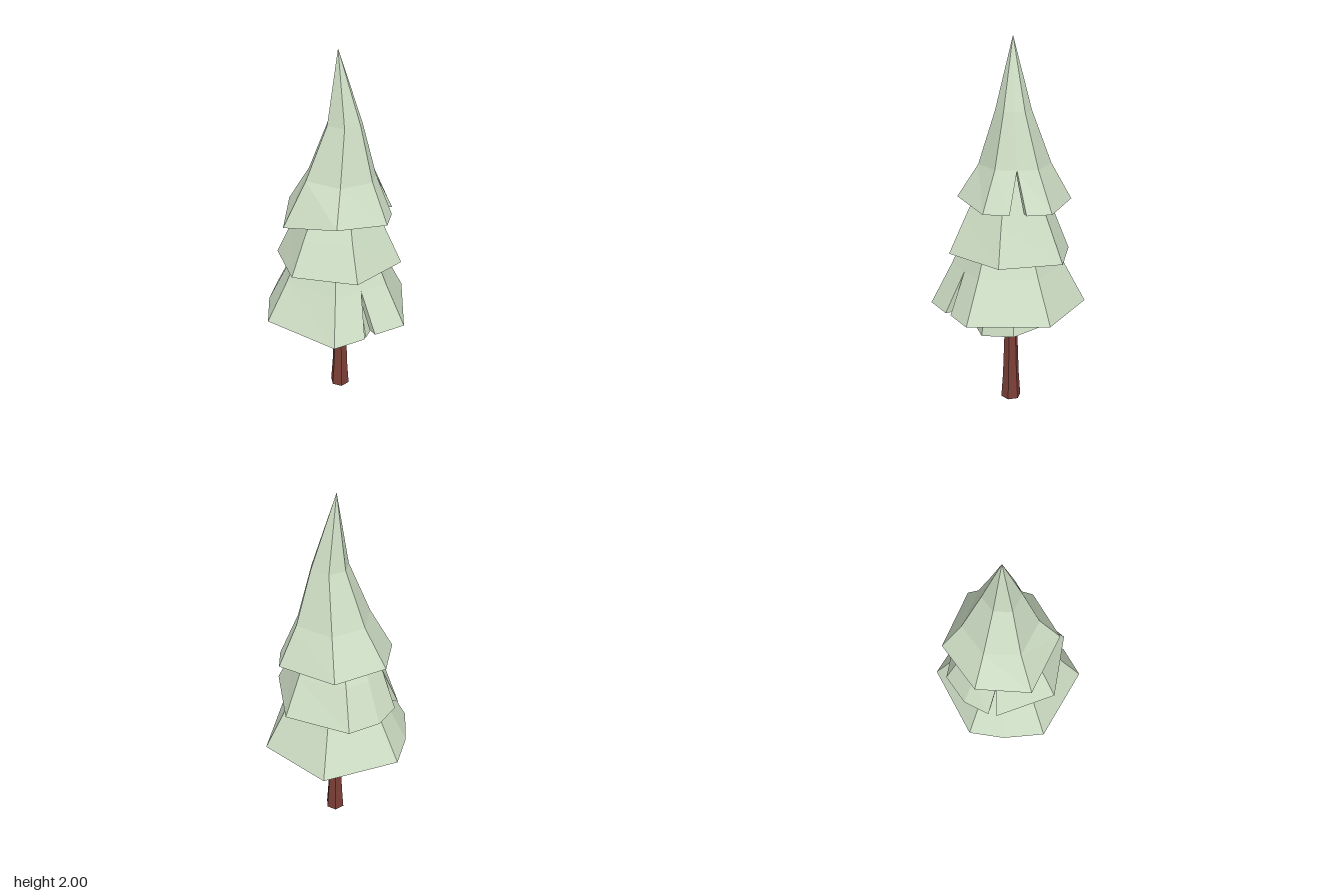
import * as THREE from 'three';

const foliage = new THREE.MeshStandardMaterial({ color: 0xcfdfc6, flatShading: true });
const bark = new THREE.MeshStandardMaterial({ color: 0x7d3f38, flatShading: true });

// Hollow skirt of branches. rim: corners [x, y, z] in order of angle; levels: rings above
// the rim [y, scale, centreX, centreZ]; tip: [x, y, z]; gap: index of the rim edge that
// is cut open up to the first ring.
function skirt(name, rim, levels, tip, gap = -1, inner = 0.86) {
  const n = rim.length;
  const shell = (k, drop) => {
    const cols = rim.map((p, i) => {
      let q = p;
      if (gap >= 0 && (i === gap || i === gap + 1)) {
        const a = rim[gap], b = rim[gap + 1];
        q = [(a[0] + b[0]) / 2, 0, (a[2] + b[2]) / 2];
      }
      return [
        [p[0] * k, p[1], p[2] * k],
        ...levels.map(([y, s, cx = 0, cz = 0]) => [cx + q[0] * s * k, y - drop, cz + q[2] * s * k]),
        [tip[0], tip[1] - drop * 4, tip[2]],
      ];
    });
    return cols;
  };
  const out = shell(1, 0), ins = shell(inner, 0.02);
  const pos = [];
  const tri = (...pts) => pts.forEach((p) => pos.push(...p));
  const quad = (a, b, c, d) => { tri(a, b, c); tri(a, c, d); };

  for (let i = 0; i < n; i++) {
    if (i === gap) continue;
    const j = (i + 1) % n;
    const last = levels.length;
    for (let l = 0; l < last; l++) {
      quad(out[i][l], out[i][l + 1], out[j][l + 1], out[j][l]);
      quad(ins[i][l], ins[j][l], ins[j][l + 1], ins[i][l + 1]);
    }
    tri(out[i][last], out[i][last + 1], out[j][last]);
    tri(ins[i][last], ins[j][last], ins[i][last + 1]);
    // underside of the rim
    quad(out[i][0], out[j][0], ins[j][0], ins[i][0]);
  }
  // side walls of the notch
  if (gap >= 0) {
    const g = gap, h = gap + 1;
    quad(ins[g][0], out[g][0], out[g][1], ins[g][1]);
    quad(ins[h][0], ins[h][1], out[h][1], out[h][0]);
  }
  const geo = new THREE.BufferGeometry();
  geo.setAttribute('position', new THREE.Float32BufferAttribute(pos, 3));
  geo.computeVertexNormals();
  const mesh = new THREE.Mesh(geo, foliage);
  mesh.name = name;
  return mesh;
}

export function createModel() {
  const tree = new THREE.Group();
  tree.name = 'tree';

  // Trunk, flared at the foot
  const profile = [[0, 0], [0.056, 0], [0.046, 0.14], [0.036, 0.42], [0.03, 0.85], [0, 0.85]];
  const trunk = new THREE.Mesh(
    new THREE.LatheGeometry(profile.map(([r, y]) => new THREE.Vector2(r, y)), 6, Math.PI / 6),
    bark
  );
  trunk.name = 'trunk';
  trunk.position.set(0.018, 0, -0.005);
  tree.add(trunk);

  // Foliage, from the top down
  tree.add(skirt('topFoliage',
    [[0.34, 1.14, 0.02], [0.27, 1.14, 0.13], [0.21, 1.14, 0.19], [0.1, 1.14, 0.27],
      [-0.18, 1.175, 0.2], [-0.29, 1.11, -0.1], [-0.09, 1.15, -0.31], [0.2, 1.15, -0.28]],
    [[1.35, 0.63, 0.02, 0], [1.63, 0.31, 0.035, 0.01]], [0.015, 2, -0.02], 1));

  tree.add(skirt('upperFoliage',
    [[0.215, 0.88, 0.27], [-0.13, 0.89, 0.305], [-0.34, 0.89, 0.03], [-0.21, 0.87, -0.275],
      [-0.17, 0.86, -0.3], [-0.03, 0.85, -0.35], [0.145, 0.85, -0.33], [0.355, 0.865, -0.05]],
    [[1.07, 0.74], [1.3, 0.42, 0.01, 0]], [0.015, 1.55, 0], 3));

  tree.add(skirt('lowerFoliage',
    [[0.41, 0.58, 0.095], [0.12, 0.58, 0.405], [-0.055, 0.58, 0.365], [-0.115, 0.57, 0.35],
      [-0.29, 0.57, 0.31], [-0.415, 0.58, -0.1], [-0.275, 0.58, -0.285],
      [-0.12, 0.58, -0.41], [0.29, 0.58, -0.31]],
    [[0.8, 0.72], [0.9, 0.61], [1.08, 0.42]], [0.015, 1.3, 0], 2));

  tree.add(skirt('bottomFoliage',
    [[0.235, 0.49, -0.03], [0.19, 0.465, 0.14], [0.02, 0.44, 0.215], [-0.2, 0.44, 0.1],
      [-0.19, 0.45, -0.1], [0.04, 0.45, -0.23]],
    [[0.62, 0.82], [0.82, 0.5]], [0.015, 1, 0], -1, 0.84));

  return tree;
}
